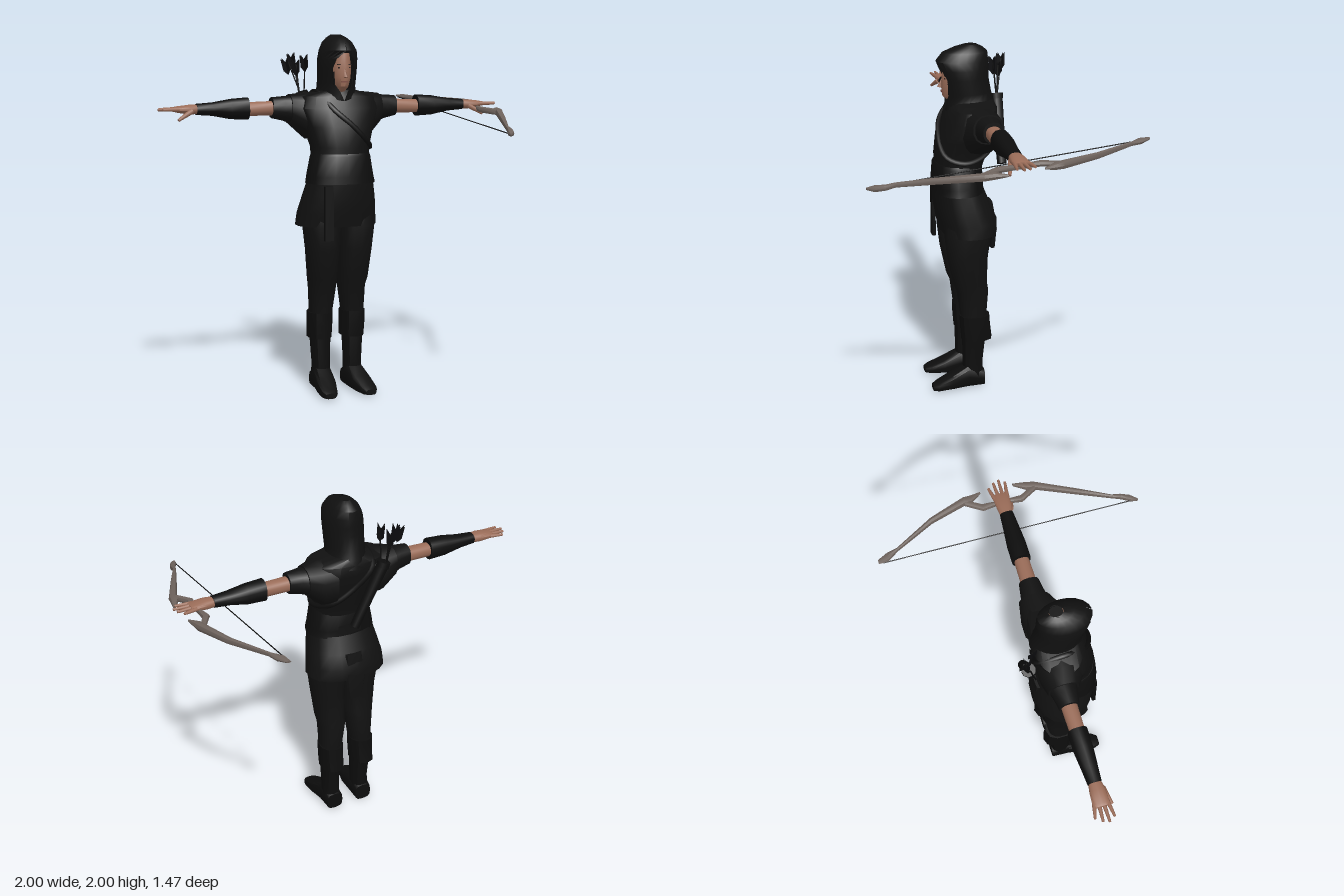
import * as THREE from 'three';
import { toCreasedNormals } from 'three/addons/utils/BufferGeometryUtils.js';

const mat = (name, color, side = THREE.FrontSide) => {
  const m = new THREE.MeshStandardMaterial({ color, side });
  m.name = name;
  return m;
};

// Skin over rings [t, u0, u1, v0, v1, gap], t rising along axis (0 x, 1 y, 2 z);
// u and v are the extents along the next two axes, gap opens the ring around +u.
function loft(axis, rings, n = 14, power = 2.3, cap = true) {
  const pos = [], idx = [];
  const put = (t, u, v) => {
    const p = [0, 0, 0];
    p[axis] = t; p[(axis + 1) % 3] = u; p[(axis + 2) % 3] = v;
    pos.push(...p);
  };
  const bend = c => Math.sign(c) * Math.abs(c) ** (2 / power);
  for (const [t, u0, u1, v0, v1, gap = 0] of rings) {
    for (let j = 0; j <= n; j++) {
      const a = gap + (2 * Math.PI - 2 * gap) * j / n;
      put(t, (u0 + u1) / 2 + (u1 - u0) / 2 * bend(Math.cos(a)), (v0 + v1) / 2 + (v1 - v0) / 2 * bend(Math.sin(a)));
    }
  }
  const w = n + 1, last = rings.length - 1;
  for (let i = 0; i < last; i++) for (let j = 0; j < n; j++) {
    const a = i * w + j, b = a + w;
    idx.push(a, a + 1, b + 1, a, b + 1, b);
  }
  if (cap) for (const i of [0, last]) {
    const [t, u0, u1, v0, v1] = rings[i], c = pos.length / 3;
    put(t, (u0 + u1) / 2, (v0 + v1) / 2);
    for (let j = 0; j < n; j++) {
      const a = i * w + j;
      if (i) idx.push(c, a, a + 1); else idx.push(c, a + 1, a);
    }
  }
  const g = new THREE.BufferGeometry();
  g.setAttribute('position', new THREE.Float32BufferAttribute(pos, 3));
  g.setIndex(idx);
  return toCreasedNormals(g, 0.7);
}

// Tapered rod between two points
function rod(a, b, r0, r1 = r0, n = 8) {
  const p = new THREE.Vector3(...a), q = new THREE.Vector3(...b), d = q.clone().sub(p);
  const g = new THREE.CylinderGeometry(r1, r0, d.length(), n);
  g.applyQuaternion(new THREE.Quaternion().setFromUnitVectors(new THREE.Vector3(0, 1, 0), d.normalize()));
  const m = p.add(q).multiplyScalar(0.5);
  return g.translate(m.x, m.y, m.z);
}

// Copy reflected in x with the corner order turned round
function mirrored(geo) {
  const g = (geo.index ? geo.toNonIndexed() : geo.clone()).scale(-1, 1, 1);
  for (const key of ['position', 'normal']) {
    const a = g.attributes[key];
    for (let i = 0; i < a.count; i += 3) for (let k = 0; k < 3; k++) {
      const s = a.getComponent(i + 1, k);
      a.setComponent(i + 1, k, a.getComponent(i + 2, k));
      a.setComponent(i + 2, k, s);
    }
  }
  g.deleteAttribute('uv');
  return g;
}

export function createModel() {
  const root = new THREE.Group();
  root.name = 'hoodedArcher';
  const cloth = mat('blackCloth', 0x111111);
  const hoodCloth = mat('hoodCloth', 0x101010, THREE.DoubleSide);
  const leather = mat('darkLeather', 0x0d0d0d);
  const skin = mat('skin', 0x9a6c58);
  const lip = mat('lips', 0x7a4a40);
  const eye = mat('eyes', 0x2a1d18);
  const wood = mat('bowWood', 0x6e635d);
  const feather = mat('feather', 0x0c0c0e, THREE.DoubleSide);
  const add = (name, geo, m) => {
    const mesh = new THREE.Mesh(geo, m);
    mesh.name = name;
    root.add(mesh);
    return mesh;
  };
  const pair = (name, geo, m) => {
    add(name + 'Left', geo, m);
    add(name + 'Right', mirrored(geo), m);
  };
  const box = (w, h, d, x, y, z) => new THREE.BoxGeometry(w, h, d).translate(x, y, z);

  // Tunic, belt and skirt
  add('tunic', loft(1, [
    [1.18, -.03, .245, -.185, .18], [1.32, -.02, .235, -.165, .16], [1.39, -.045, .24, -.165, .165],
    [1.5, -.07, .225, -.2, .2], [1.6, -.1, .19, -.24, .24], [1.665, -.1, .165, -.22, .22], [1.7, -.085, .14, -.1, .1],
  ], 18), cloth);
  add('belt', loft(1, [
    [1.19, -.03, .258, -.2, .195], [1.23, -.025, .255, -.195, .185], [1.34, -.022, .248, -.172, .167], [1.355, -.015, .24, -.165, .16],
  ], 18), leather);
  add('skirt', loft(1, [
    [.95, -.105, .215, -.24, .225], [1.02, -.105, .23, -.232, .217], [1.1, -.07, .245, -.215, .205], [1.2, -.03, .25, -.19, .185],
  ], 18), cloth);
  add('sashEnd', box(.05, .3, .02, -.11, 1.03, .228), leather);
  add('backTail', loft(1, [
    [.82, -.1, -.075, -.04, .04], [.95, -.108, -.08, -.06, .06], [1.1, -.085, -.05, -.05, .05],
  ], 8, 4), cloth);

  // Shoulders, arms and bracers
  pair('shoulder', loft(0, [
    [.1, 1.42, 1.69, -.1, .15], [.18, 1.43, 1.685, -.1, .14], [.265, 1.51, 1.675, -.085, .085],
  ]), cloth);
  pair('sleeve', loft(0, [[.22, 1.5, 1.67, -.085, .085], [.3, 1.53, 1.665, -.065, .065], [.365, 1.545, 1.66, -.055, .055]]), cloth);
  pair('upperArm', loft(0, [[.34, 1.56, 1.64, -.043, .043], [.52, 1.56, 1.635, -.04, .04]]), skin);
  pair('bracer', loft(0, [
    [.5, 1.54, 1.662, -.052, .052], [.6, 1.545, 1.655, -.052, .052], [.7, 1.565, 1.638, -.043, .045], [.79, 1.572, 1.632, -.036, .038],
  ]), leather);

  // Hands with spread fingers
  pair('palm', loft(0, [
    [.77, 1.577, 1.627, -.03, .032], [.83, 1.575, 1.628, -.04, .045], [.9, 1.587, 1.62, -.045, .045], [.915, 1.595, 1.615, -.04, .04],
  ]), skin);
  [[-.034, -.052, .965], [-.011, -.018, .99], [.012, .014, 1], [.034, .046, .98]].forEach(([z0, z1, tip], i) =>
    pair('finger' + (i + 1), rod([.89, 1.604, z0], [tip, 1.604, z1], .012, .007), skin));
  pair('thumb', rod([.82, 1.595, .033], [.9, 1.548, .06], .016, .008), skin);

  // Trousers, boot shafts, cuffs and feet
  pair('trouserLeg', loft(1, [
    [.42, -.03, .115, .035, .158], [.6, -.045, .14, .01, .165], [.65, -.035, .16, .008, .175],
    [.82, -.04, .195, .003, .19], [.95, -.06, .21, -.002, .203], [1.06, -.06, .2, 0, .19],
  ]), cloth);
  pair('bootCuff', loft(1, [[.3, -.065, .115, .03, .165], [.38, -.055, .122, .028, .168], [.45, -.05, .125, .027, .168]], 10), leather);
  pair('bootShaft', loft(1, [
    [.05, -.015, .1, .045, .15], [.15, -.012, .108, .045, .145], [.32, -.03, .11, .04, .155],
  ], 10), leather);
  pair('foot', loft(2, [
    [-.016, .045, .145, 0, .1], [.08, .042, .152, 0, .14], [.18, .048, .165, 0, .085], [.26, .07, .165, 0, .05], [.29, .09, .15, .004, .035],
  ], 12, 3.2), leather);

  // Hood with a pointed face opening
  add('hood', loft(1, [
    [1.64, -.105, .175, -.13, .13], [1.69, -.095, .178, -.108, .103, .2], [1.74, -.08, .185, -.108, .1, .55],
    [1.82, -.065, .2, -.112, .102, .62], [1.87, -.067, .218, -.112, .1, .48], [1.915, -.065, .225, -.105, .093, .02],
    [1.96, -.06, .19, -.08, .072], [1.985, -.03, .13, -.055, .05], [2, .0, .075, -.03, .028],
  ], 20, 2, false), hoodCloth);
  add('hoodCrown', new THREE.CircleGeometry(.036, 12).rotateX(-Math.PI / 2).translate(0, 1.998, .037), hoodCloth);

  // Face
  add('head', loft(1, [
    [1.66, -.02, .09, -.055, .05], [1.7, -.01, .165, -.035, .028], [1.72, -.02, .19, -.048, .04],
    [1.77, -.03, .197, -.062, .055], [1.83, -.03, .195, -.066, .058], [1.9, -.03, .18, -.06, .052],
  ], 16, 2.2), skin);
  add('nose', new THREE.ConeGeometry(.014, .05, 4).rotateX(-.25).translate(-.005, 1.795, .2), skin);
  add('mouth', box(.036, .009, .006, -.005, 1.747, .193), lip);
  for (const s of [-1, 1]) {
    add('eye', box(.018, .007, .006, -.005 + s * .026, 1.823, .184), eye);
    add('brow', box(.026, .006, .006, -.005 + s * .027, 1.84, .183), eye);
    add('sideHair', rod([-.005 + s * .058, 1.8, .165], [-.005 + s * .05, 1.72, .165], .008, .003, 5), leather);
  }

  // Strap around the chest, quiver and arrows
  const strap = [[-.12, 1.69, .06], [-.07, 1.6, .185], [.04, 1.5, .223], [.13, 1.41, .2], [.17, 1.38, .1],
    [.12, 1.42, -.03], [0, 1.52, -.085], [-.1, 1.64, -.1]].map(p => new THREE.Vector3(...p));
  add('strap', new THREE.TubeGeometry(new THREE.CatmullRomCurve3(strap, true), 48, .015, 6, true), leather);
  add('quiver', rod([.03, 1.32, -.138], [-.135, 1.665, -.15], .027, .034, 10), leather);
  add('quiverRim', rod([-.13, 1.65, -.15], [-.14, 1.68, -.15], .037, .037, 10), leather);
  const vane = new THREE.Shape([[0, 0], [.026, .03], [.028, .1], [0, .075], [-.028, .1], [-.026, .03]].map(p => new THREE.Vector2(...p)));
  [[-.215, 1.775, -.15], [-.175, 1.8, -.185], [-.125, 1.79, -.125], [-.165, 1.765, -.165]].forEach((top, i) => {
    add('arrowShaft' + i, rod([-.125 - i % 2 * .02, 1.62, -.15], [top[0], top[1] + .07, top[2]], .004, .004, 5), leather);
    for (const turn of [0, Math.PI / 2]) {
      add('arrowVane' + i, new THREE.ShapeGeometry(vane).rotateY(turn + .3).rotateZ(.25 - i * .08).translate(...top), feather);
    }
  });

  // Recurved bow held in the left hand
  add('bowBackLimb', loft(2, [
    [-.735, .69, .715, 1.615, 1.626], [-.68, .695, .745, 1.6, 1.63], [-.62, .74, .758, 1.6, 1.625], [-.4, .85, .885, 1.587, 1.622],
    [-.2, .91, .957, 1.572, 1.618], [-.16, .915, .96, 1.572, 1.61], [-.1, .955, .967, 1.585, 1.595],
  ], 8), wood);
  add('bowGrip', loft(2, [
    [-.2, .905, .945, 1.578, 1.61], [-.11, .85, .892, 1.573, 1.605], [-.04, .862, .888, 1.57, 1.6],
    [.04, .862, .888, 1.563, 1.593], [.11, .852, .892, 1.555, 1.59], [.2, .905, .945, 1.545, 1.58],
  ], 8), wood);
  add('bowFrontLimb', loft(2, [
    [.085, .96, .975, 1.565, 1.578], [.15, .92, .965, 1.548, 1.588], [.2, .91, .957, 1.54, 1.583], [.43, .825, .86, 1.512, 1.548],
    [.6, .765, .785, 1.49, 1.517], [.65, .75, .782, 1.475, 1.507], [.7, .725, .765, 1.465, 1.5], [.738, .72, .735, 1.473, 1.485],
  ], 8), wood);
  add('bowString', rod([.695, 1.612, -.71], [.73, 1.482, .7], .003, .003, 5), leather);
  return root;
}
